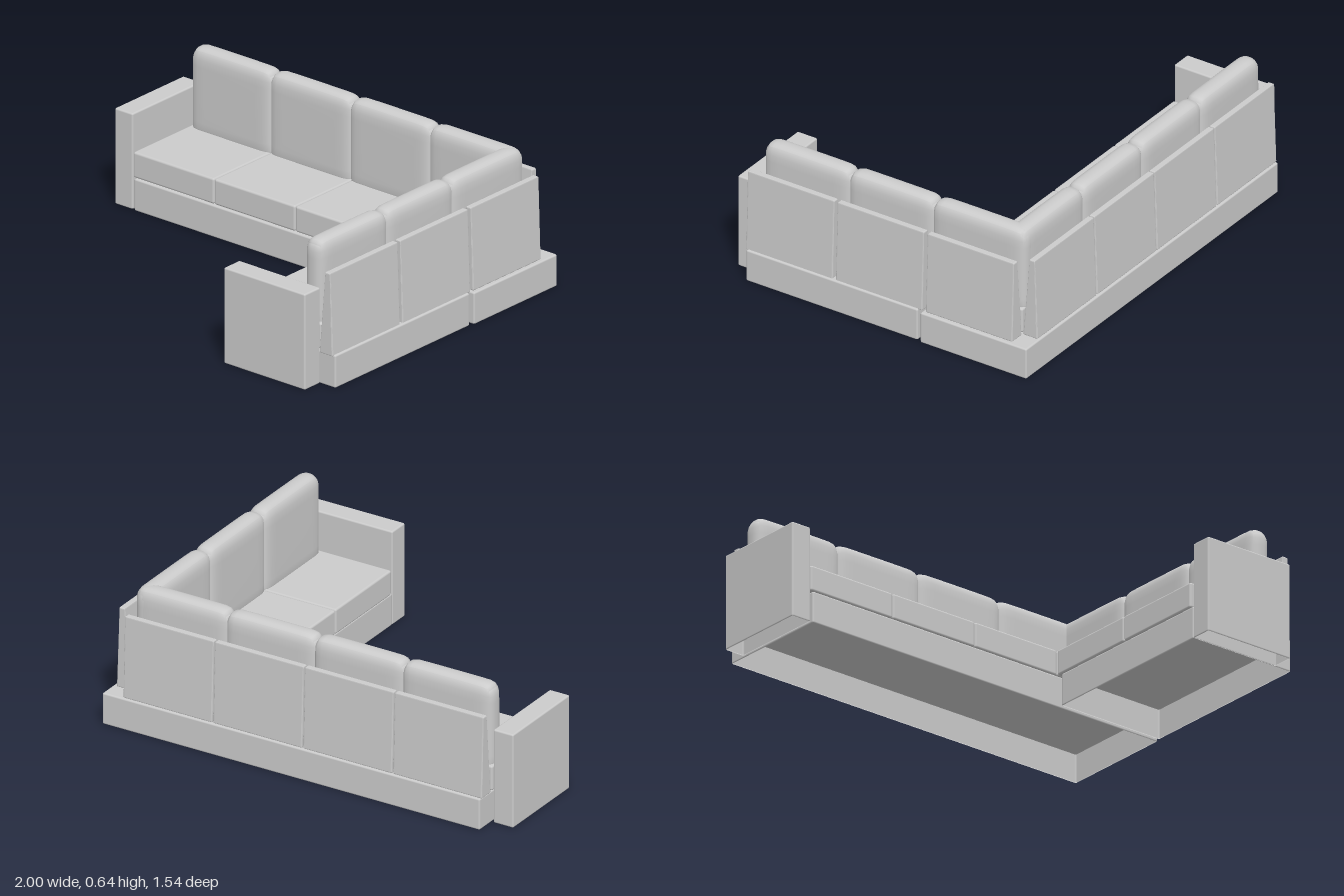
import * as THREE from 'three';
import { mergeVertices } from 'three/addons/utils/BufferGeometryUtils.js';
import { RoundedBoxGeometry } from 'three/addons/geometries/RoundedBoxGeometry.js';

const material = new THREE.MeshStandardMaterial({ color: 0xcccccc });
const shellMaterial = new THREE.MeshStandardMaterial({ color: 0xcccccc, side: THREE.DoubleSide });

export function createModel() {
  const sofa = new THREE.Group();
  sofa.name = 'cornerSofa';

  const add = (name, geometry, mat = material) => {
    const mesh = new THREE.Mesh(geometry, mat);
    mesh.name = name;
    sofa.add(mesh);
    return mesh;
  };

  // Softly rounded block given by its extents
  const blockGeometry = (x0, x1, y0, y1, z0, z1, r) =>
    new RoundedBoxGeometry(x1 - x0, y1 - y0, z1 - z0, 2, r)
      .translate((x0 + x1) / 2, (y0 + y1) / 2, (z0 + z1) / 2);

  // Thin-walled block standing on the floor, open underneath
  const shell = (name, x0, x1, z0, z1, height) => {
    const g = blockGeometry(x0, x1, 0, height, z0, z1, 0.008);
    const p = g.attributes.position;
    // The fourth of the six sides is the underside: lift it to just below the top
    for (let i = p.count / 2; i < (p.count * 2) / 3; i++) p.setY(i, height - 0.012);
    add(name, g, shellMaterial);
  };

  // Wedge-shaped back panel: thick at the bottom, thin at the top; +z is the seat side
  const panelGeometry = () => {
    const y0 = 0.145, y1 = 0.525;
    const g = new RoundedBoxGeometry(0.444, y1 - y0, 0.07, 2, 0.006);
    g.translate(0, (y0 + y1) / 2, 0);
    const p = g.attributes.position;
    for (let i = 0; i < p.count; i++) {
      const t = (p.getY(i) - y0) / (y1 - y0);
      const s = p.getZ(i) / 0.07 + 0.5;
      const back = -0.037 + 0.014 * t, front = 0.037 - 0.033 * t;
      p.setZ(i, back + (front - back) * s);
    }
    g.computeVertexNormals();
    return g;
  };

  // Plump back cushion: rounded box with a crowned top, its foot sunk behind the seat
  const cushionGeometry = (width) => {
    const n = 14, r = 0.046;
    const half = new THREE.Vector3(width / 2, 0.2, 0.053);
    let g = new THREE.BoxGeometry(2, 2, 2, n, n, n);
    g.deleteAttribute('uv');
    g.deleteAttribute('normal');
    g = mergeVertices(g);
    const inner = half.clone().subScalar(r);
    const p = g.attributes.position, v = new THREE.Vector3(), c = new THREE.Vector3();
    for (let i = 0; i < p.count; i++) {
      v.fromBufferAttribute(p, i);
      const u = v.x, k = v.y;
      // Crowd the vertices towards the edges
      v.set(...v.toArray().map((t) => Math.sin(t * Math.PI / 2))).multiply(half);
      c.copy(v).clamp(inner.clone().negate(), inner);
      v.sub(c).setLength(r).add(c);
      if (k > 0) v.y += 0.01 * k * (1 - u ** 4);
      v.z *= 0.96 + 0.04 * (1 - u * u) * (1 - k * k);
      p.setXYZ(i, v.x, v.y, v.z);
    }
    g.computeVertexNormals();
    return g.translate(0, 0.43, 0);
  };

  // Plinths of the long and the short wing
  shell('longBase', -0.89, 0.998, -0.772, -0.227, 0.147);
  shell('shortBase', 0.455, 0.99, -0.208, 0.672, 0.151);

  // Armrests
  shell('sideArmrest', -1, -0.9, -0.68, -0.23, 0.442);
  shell('endArmrest', 0.455, 0.905, 0.67, 0.772, 0.442);

  const seat = (x0, x1, z0, z1) =>
    add('seat', blockGeometry(x0, x1, 0.15, 0.268, z0, z1, 0.01));

  // Long wing: four seats, panels and back cushions
  const longCushions = [-0.882, -0.447, -0.005, 0.435, 0.885];
  const overlap = 0.01;
  for (let i = 0; i < 4; i++) {
    const x = -0.898 + i * 0.45;
    seat(x, x + 0.448, -0.685, -0.23);
    add('longBackPanel', panelGeometry()).position.set(x + 0.226, 0, -0.725);
    const a = longCushions[i] - overlap, b = longCushions[i + 1] + overlap;
    add('longBackCushion', cushionGeometry(b - a)).position.set((a + b) / 2, 0, -0.638);
  }

  // Short wing: two more seats
  for (const z of [-0.231, 0.214]) seat(0.45, 0.897, z, z + 0.443);

  // Short wing: three panels and back cushions, turned to face inwards
  const shortCushions = [-0.68, -0.217, 0.212, 0.645];
  const shortPanels = [-0.465, -0.003, 0.457];
  for (let i = 0; i < 3; i++) {
    const panel = add('shortBackPanel', panelGeometry());
    panel.position.set(0.943, 0, shortPanels[i]);
    panel.rotation.y = -Math.PI / 2;
    const a = shortCushions[i] - overlap, b = shortCushions[i + 1] + overlap;
    const cushion = add('shortBackCushion', cushionGeometry(b - a));
    cushion.position.set(0.845, 0, (a + b) / 2);
    cushion.rotation.y = -Math.PI / 2;
  }

  return sofa;
}
